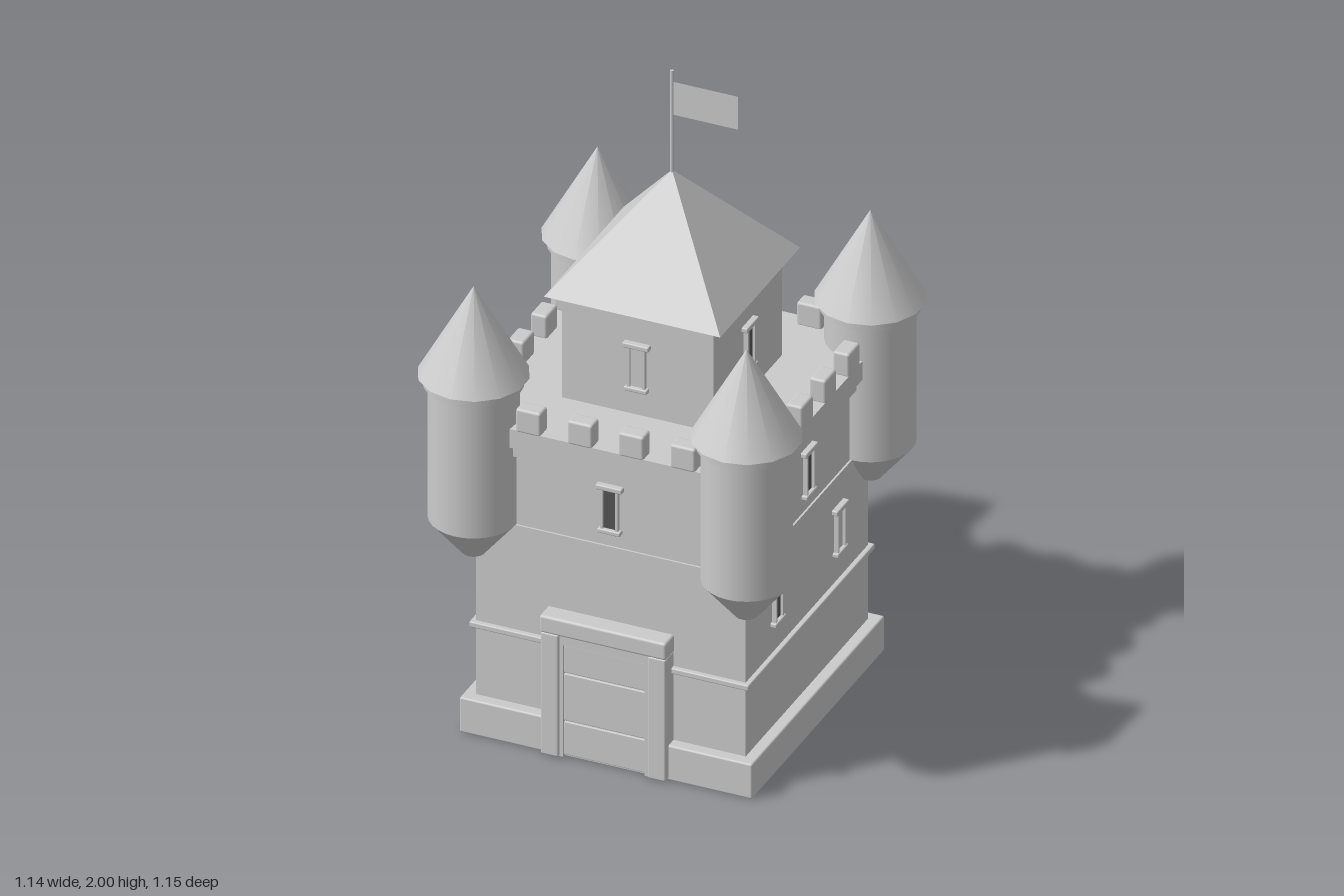
import * as THREE from 'three';
import { RoundedBoxGeometry } from 'three/addons/geometries/RoundedBoxGeometry.js';

const stone = new THREE.MeshStandardMaterial({ color: 0xcccccc });
const flatStone = new THREE.MeshStandardMaterial({ color: 0xcccccc, flatShading: true });
const cloth = new THREE.MeshStandardMaterial({ color: 0xcccccc, side: THREE.DoubleSide });
const dark = new THREE.MeshStandardMaterial({ color: 0x555555 });

function add(parent, name, geometry, x, y, z, material = stone) {
  const mesh = new THREE.Mesh(geometry, material);
  mesh.name = name;
  mesh.position.set(x, y, z);
  parent.add(mesh);
  return mesh;
}

// Box given by width, bottom, top and depth; r > 0 rounds its edges
function block(parent, name, w, y0, y1, d, x = 0, z = 0, r = 0, material = stone) {
  const h = y1 - y0;
  const geometry = r ? new RoundedBoxGeometry(w, h, d, 2, r) : new THREE.BoxGeometry(w, h, d);
  return add(parent, name, geometry, x, (y0 + y1) / 2, z, material);
}

// Narrow window with jambs, cap and sill; it looks along +z from a wall at depth z
function windowUnit(parent, x, y, z, open) {
  const g = new THREE.Group();
  g.name = open ? 'openWindow' : 'shutteredWindow';
  g.position.set(x, y, z);
  block(g, 'windowPane', 0.042, -0.065, 0.065, 0.006, 0, 0.001, 0, open ? dark : stone);
  for (const s of [-1, 1]) block(g, 'windowJamb', 0.008, -0.065, 0.065, 0.02, s * 0.023, 0.002);
  block(g, 'windowCap', 0.08, 0.062, 0.078, 0.028, 0, 0.002, 0.004);
  block(g, 'windowSill', 0.07, -0.076, -0.062, 0.028, 0, 0.002, 0.004);
  parent.add(g);
}

// Hanging round turret with a conical roof
function turret(x, z) {
  const g = new THREE.Group();
  g.name = 'cornerTurret';
  g.position.set(x, 0, z);
  add(g, 'turretWall', new THREE.CylinderGeometry(0.128, 0.128, 0.46, 28), 0, 0.92, 0);
  add(g, 'turretCorbel', new THREE.CylinderGeometry(0.128, 0.033, 0.115, 28), 0, 0.6325, 0);
  add(g, 'turretCollar', new THREE.CylinderGeometry(0.142, 0.142, 0.024, 28), 0, 1.132, 0);
  add(g, 'turretRoof', new THREE.CylinderGeometry(0, 0.158, 0.28, 14), 0, 1.288, 0);
  return g;
}

// Gate of planks between two posts and a lintel
function gate() {
  const g = new THREE.Group();
  g.name = 'gate';
  block(g, 'gateBacking', 0.28, 0.005, 0.39, 0.05, 0, 0.42);
  const rows = [0.008, 0.118, 0.272, 0.365];
  for (let i = 0; i < 3; i++) {
    block(g, 'gatePlank', 0.25, rows[i] + 0.002, rows[i + 1] - 0.002, 0.012, 0, 0.445, 0.003);
  }
  for (const s of [-1, 1]) {
    block(g, 'gatePost', 0.055, 0.003, 0.396, 0.06, s * 0.163, 0.434, 0.006);
    block(g, 'gateInnerPost', 0.012, 0.005, 0.37, 0.05, s * 0.13, 0.432);
  }
  block(g, 'gateInnerLintel', 0.27, 0.365, 0.396, 0.05, 0, 0.432);
  block(g, 'gateLintel', 0.385, 0.395, 0.45, 0.07, 0, 0.432, 0.008);
  return g;
}

export function createModel() {
  const castle = new THREE.Group();
  castle.name = 'castle';

  // Main block with its plinth, string courses and parapet
  block(castle, 'plinth', 0.89, 0, 0.112, 0.89, 0, 0, 0.006);
  block(castle, 'mainWalls', 0.82, 0.05, 0.96, 0.82);
  block(castle, 'lowerStringCourse', 0.85, 0.332, 0.35, 0.85, 0, 0, 0.004);
  block(castle, 'upperStringCourse', 0.832, 0.668, 0.69, 0.832);
  block(castle, 'parapetCorbel', 0.86, 0.918, 0.955, 0.86);
  block(castle, 'parapet', 0.894, 0.955, 1.015, 0.894);

  // One wall side, repeated around: battlements and windows
  for (let i = 0; i < 4; i++) {
    const side = new THREE.Group();
    side.name = ['frontSide', 'leftSide', 'backSide', 'rightSide'][i];
    side.rotation.y = i * Math.PI / 2;
    for (const x of [-0.235, -0.078, 0.078, 0.235]) {
      block(side, 'merlon', 0.076, 1.01, 1.086, 0.05, x, 0.424, 0.008);
    }
    windowUnit(side, 0, 0.81, 0.412, true);
    if (i > 0) {
      windowUnit(side, -0.208, 0.512, 0.412, true);
      windowUnit(side, 0.208, 0.512, 0.412, false);
    }
    if (i < 2) windowUnit(side, 0, 1.17, 0.232, i === 1);
    castle.add(side);
  }

  for (const x of [-0.415, 0.415]) {
    for (const z of [-0.415, 0.415]) castle.add(turret(x, z));
  }
  castle.add(gate());

  // Central keep with pyramid roof, pole and flag
  block(castle, 'keepWalls', 0.46, 1.0, 1.352, 0.46);
  const roof = new THREE.ConeGeometry(0.268 * Math.SQRT2, 0.33, 4);
  roof.rotateY(Math.PI / 4);
  add(castle, 'keepRoof', roof, 0, 1.515, 0, flatStone);
  add(castle, 'flagPole', new THREE.CylinderGeometry(0.005, 0.005, 0.34, 10), 0, 1.83, 0);
  add(castle, 'flag', new THREE.PlaneGeometry(0.196, 0.106), 0.102, 1.911, 0, cloth);

  return castle;
}
